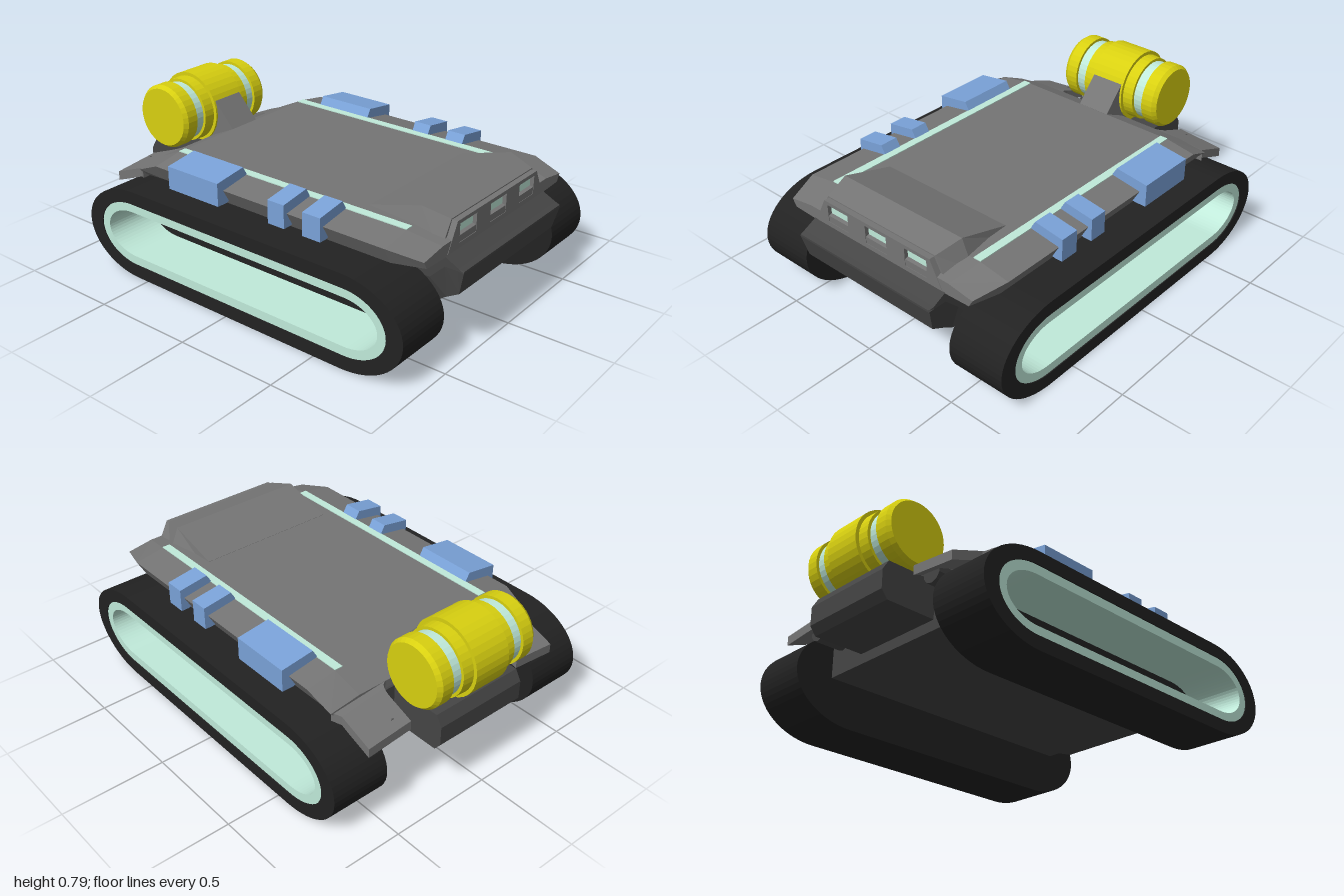
import * as THREE from 'three';

const mat = (color) => new THREE.MeshStandardMaterial({ color, flatShading: true });
const GREY = mat(0x757575), DARK = mat(0x454545), BLACK = mat(0x222222);
const MINT = mat(0xc0eada), BLUE = mat(0x7aa2d8), YELLOW = mat(0xd8d010);

function add(parent, name, geometry, material) {
  const m = new THREE.Mesh(geometry, material);
  m.name = name;
  parent.add(m);
  return m;
}

function box(x0, x1, y0, y1, z0, z1) {
  return new THREE.BoxGeometry(x1 - x0, y1 - y0, z1 - z0)
    .translate((x0 + x1) / 2, (y0 + y1) / 2, (z0 + z1) / 2);
}

// Symmetric loft: each section is [z, [x, y]...], right half from top to bottom, front to back
function loft(sections) {
  const rings = sections.map(([z, ...half]) =>
    [...half, ...half.map(([x, y]) => [-x, y]).reverse()].map(([x, y]) => [x, y, z]));
  const n = rings[0].length, pos = [];
  const tri = (...p) => p.forEach((v) => pos.push(...v));
  for (let k = 0; k < rings.length - 1; k++) {
    for (let i = 0; i < n; i++) {
      const j = (i + 1) % n, a = rings[k], b = rings[k + 1];
      tri(a[i], a[j], b[j]);
      tri(a[i], b[j], b[i]);
    }
  }
  const first = rings[0], last = rings[rings.length - 1];
  for (let i = 1; i < n - 1; i++) {
    tri(first[0], first[i + 1], first[i]);
    tri(last[0], last[i], last[i + 1]);
  }
  const g = new THREE.BufferGeometry();
  g.setAttribute('position', new THREE.Float32BufferAttribute(pos, 3));
  g.computeVertexNormals();
  return g;
}

// Extrude a (z, y) profile across x
function across(shape, x0, x1) {
  return new THREE.ExtrudeGeometry(shape, { depth: x1 - x0, bevelEnabled: false, curveSegments: 14 })
    .rotateY(-Math.PI / 2).translate(x1, 0, 0);
}
const polygon = (pts) => new THREE.Shape(pts.map((p) => new THREE.Vector2(...p)));

// Long loop outline with elliptical ends
function loop(hz, hy, rz) {
  const s = new THREE.Shape(), zc = 0.04, yc = 0.221;
  s.absellipse(zc + hz - rz, yc, rz, hy, -Math.PI / 2, Math.PI / 2, false);
  s.absellipse(zc - hz + rz, yc, rz, hy, Math.PI / 2, Math.PI * 1.5, false);
  s.closePath();
  return s;
}

function makeSide() {
  const side = new THREE.Group();

  // Track with pale inner rim and closed inner plate
  const tread = loop(0.91, 0.221, 0.31);
  tread.holes.push(loop(0.828, 0.157, 0.215));
  add(side, 'trackTread', across(tread, 0.45, 0.735), BLACK);
  const rim = loop(0.828, 0.157, 0.215);
  rim.holes.push(loop(0.783, 0.114, 0.17));
  add(side, 'trackRim', across(rim, 0.46, 0.73), MINT);
  add(side, 'trackInnerPlate', across(loop(0.828, 0.157, 0.215), 0.45, 0.465), BLACK);

  // Pale strip along the deck
  add(side, 'deckStrip', box(0.41, 0.45, 0.54, 0.559, -0.54, 0.755), MINT);

  // Blue pods clamped on the deck edge
  for (const [z0, z1, xo] of [[-0.42, -0.115, 0.635], [0.16, 0.25, 0.618], [0.35, 0.445, 0.618]]) {
    const s = polygon([[0.445, 0.5], [0.58, 0.465], [xo, 0.465], [xo, 0.575], [0.47, 0.598], [0.445, 0.555]]);
    const g = new THREE.ExtrudeGeometry(s, { depth: z1 - z0, bevelEnabled: false }).translate(0, 0, z0);
    add(side, 'sidePod', g, BLUE);
  }

  // Rear fin: plan outline with a rounded inner corner, sheared down towards the back
  const fin = new THREE.Shape();
  fin.moveTo(0.28, 0.66);
  fin.lineTo(0.575, 0.66);
  fin.lineTo(0.55, 0.70);
  fin.lineTo(0.55, 0.865);
  fin.lineTo(0.32, 0.865);
  fin.lineTo(0.32, 0.74);
  fin.quadraticCurveTo(0.32, 0.67, 0.28, 0.67);
  const g = new THREE.ExtrudeGeometry(fin, { depth: 0.045, bevelEnabled: false }).rotateX(-Math.PI / 2);
  const p = g.attributes.position;
  for (let i = 0; i < p.count; i++) {
    const x = p.getX(i), z = p.getZ(i);
    p.setY(i, p.getY(i) + 0.45 + (z + 0.67) * 0.38 - Math.max(0, x - 0.43) * 0.18);
  }
  g.computeVertexNormals();
  add(side, 'rearFin', g, GREY);
  add(side, 'finSupport', new THREE.CylinderGeometry(0.05, 0.05, 0.16, 10)
    .rotateX(Math.PI / 2).translate(0.38, 0.385, -0.74), DARK);
  return side;
}

export function createModel() {
  const model = new THREE.Group();
  model.name = 'trackedVehicle';

  const left = makeSide();
  left.name = 'leftSide';
  const right = makeSide();
  right.name = 'rightSide';
  right.scale.x = -1;
  model.add(left, right);

  // Lower hull and wedge nose
  add(model, 'lowerHull', box(-0.45, 0.45, 0.22, 0.455, -0.68, 0.78), DARK);
  add(model, 'nose', loft([
    [1.0, [0.395, 0.425], [0.4, 0.42], [0.4, 0.415]],
    [0.975, [0.4, 0.432], [0.4, 0.42], [0.385, 0.31]],
    [0.91, [0.4, 0.465], [0.4, 0.42], [0.375, 0.27]],
    [0.84, [0.4, 0.465], [0.4, 0.35], [0.36, 0.22]],
    [0.74, [0.4, 0.465], [0.4, 0.35], [0.4, 0.22]],
  ]), DARK);
  add(model, 'rearBox', across(polygon([
    [-0.66, 0.27], [-0.93, 0.27], [-0.96, 0.31], [-0.96, 0.4], [-0.93, 0.45], [-0.66, 0.45],
  ]), -0.24, 0.24), DARK);

  // Upper deck with drooping edges
  add(model, 'deck', loft([
    [0.91, [0.42, 0.52], [0.55, 0.5], [0.53, 0.465], [0.4, 0.46]],
    [0.755, [0.45, 0.555], [0.6, 0.53], [0.555, 0.45], [0.4, 0.45]],
    [-0.54, [0.45, 0.555], [0.6, 0.53], [0.555, 0.45], [0.4, 0.45]],
    [-0.67, [0.43, 0.495], [0.585, 0.475], [0.55, 0.44], [0.4, 0.44]],
  ]), GREY);

  // Raised cabin with three recessed windows
  add(model, 'cabin', loft([
    [0.885, [0.325, 0.597], [0.4, 0.47]],
    [0.76, [0.355, 0.63], [0.41, 0.5]],
    [0.5, [0.355, 0.556], [0.365, 0.5]],
  ]), GREY);
  const front = polygon([[-0.385, 0.465], [0.385, 0.465], [0.32, 0.592], [-0.32, 0.592]]);
  for (const x of [-0.237, 0, 0.237]) {
    const w = 0.064, y0 = 0.488, y1 = 0.575;
    front.holes.push(polygon([[x - w, y0], [x - w, y1], [x + w, y1], [x + w, y0]]));
    add(model, 'window', box(x - w, x + w, y0, y1, 0.87, 0.893), MINT);
  }
  add(model, 'cabinFront', new THREE.ExtrudeGeometry(front, { depth: 0.03, bevelEnabled: false })
    .translate(0, 0, 0.882), GREY);

  // Rear barrel and its mount
  add(model, 'barrelMount', across(polygon([
    [-0.54, 0.55], [-0.54, 0.45], [-0.72, 0.45], [-0.78, 0.6], [-0.67, 0.695],
  ]), -0.085, 0.085), GREY);
  const barrel = new THREE.Group();
  barrel.name = 'barrel';
  barrel.position.set(0, 0.61, -0.82);
  model.add(barrel);
  const half = [[0.18, 0.095], [0.163, 0.095], [0.16, 0.15], [0.138, 0.15], [0.138, 0.205],
    [0.16, 0.205], [0.16, 0.265], [0.145, 0.285], [0, 0.285]];
  const profile = [...half.map(([r, x]) => [r, -x]).reverse(), ...half].map((v) => new THREE.Vector2(...v));
  add(barrel, 'barrelBody', new THREE.LatheGeometry(profile, 36).rotateZ(Math.PI / 2), YELLOW);
  for (const s of [-1, 1]) {
    add(barrel, 'barrelBand', new THREE.CylinderGeometry(0.146, 0.146, 0.056, 36)
      .rotateZ(Math.PI / 2).translate(s * 0.1775, 0, 0), MINT);
  }
  return model;
}
